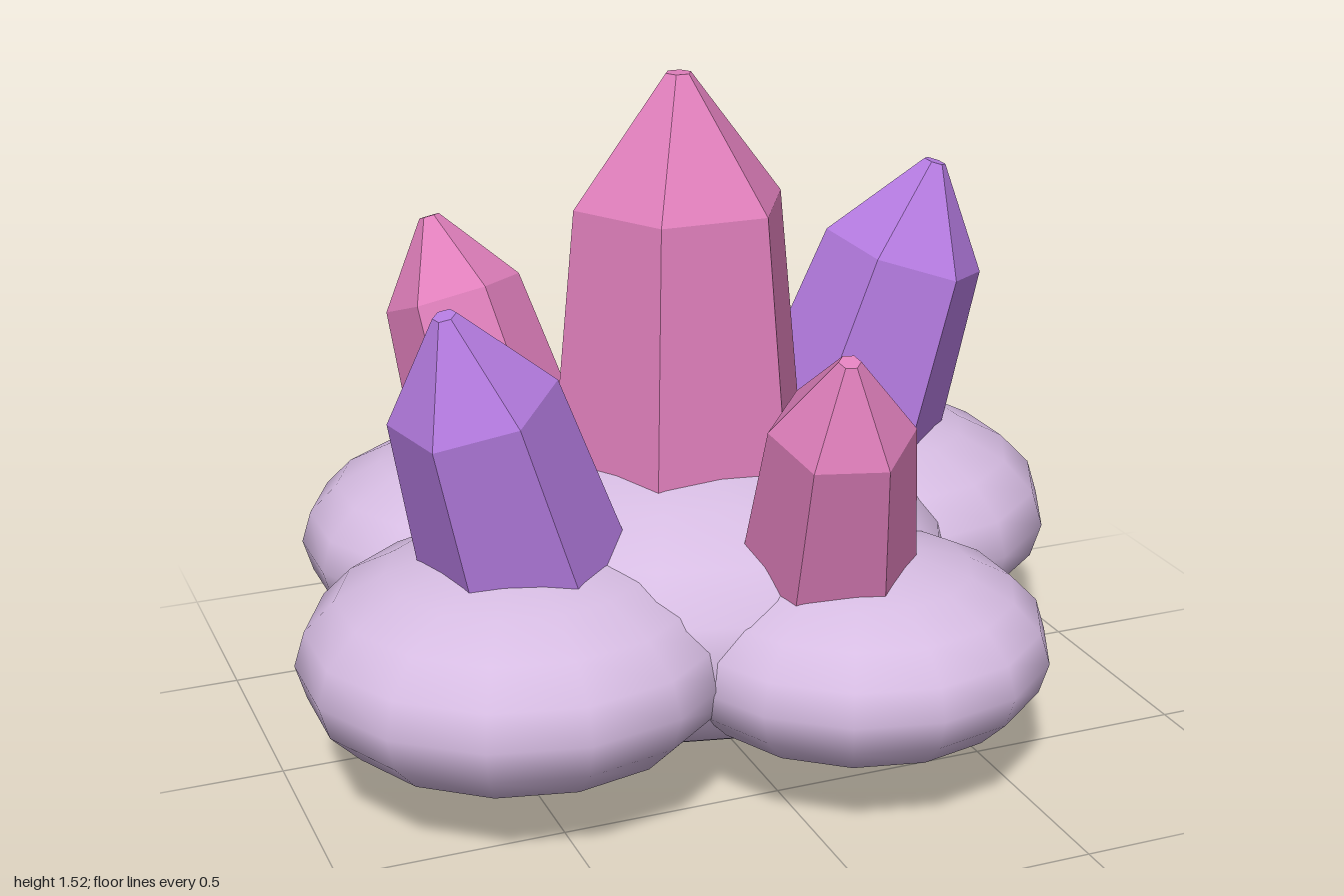
import * as THREE from 'three';

const rockMat = new THREE.MeshStandardMaterial({ name: 'paleLilacRock', color: 0xd6bce2 });
const pinkMat = new THREE.MeshStandardMaterial({ name: 'pinkCrystal', color: 0xdf7fbb });
const purpleMat = new THREE.MeshStandardMaterial({ name: 'purpleCrystal', color: 0xb47be0 });

// Flattened smooth boulder with 14 sides
function rock(name, x, y, z, r) {
  const geo = new THREE.SphereGeometry(r, 14, 10).rotateY(Math.PI / 2).scale(1, 0.52, 1);
  const mesh = new THREE.Mesh(geo, rockMat);
  mesh.name = name;
  mesh.position.set(x, y, z);
  return mesh;
}

// Six-sided tapered crystal: its tip sits at `tip`, its axis leans by (lx, lz) per unit of height
function crystal(name, mat, tip, [lx, lz], r, length, yaw) {
  const cone = r * 1.16;
  const profile = [
    [0, -length],
    [r + (length - cone) * 0.1, -length],
    [r, -cone],
    [0.03 * Math.sqrt(r / 0.25), 0],
    [0, 0],
  ].map(([px, py]) => new THREE.Vector2(px, py));
  const geo = new THREE.LatheGeometry(profile, 6).rotateY(yaw).toNonIndexed();
  geo.computeVertexNormals();
  const mesh = new THREE.Mesh(geo, mat);
  mesh.name = name;
  mesh.position.set(...tip);
  const axis = new THREE.Vector3(lx, 1, lz).normalize();
  mesh.quaternion.setFromUnitVectors(new THREE.Vector3(0, 1, 0), axis);
  return mesh;
}

export function createModel() {
  const group = new THREE.Group();
  group.name = 'crystalCluster';

  // Rock base
  group.add(
    rock('centreRock', -0.03, 0.346, -0.035, 0.66),
    rock('rightRock', -0.515, 0.325, 0.25, 0.487),
    rock('leftRock', 0.49, 0.34, -0.25, 0.515),
    rock('frontRock', 0.207, 0.313, 0.45, 0.435),
    rock('backRock', -0.36, 0.33, -0.425, 0.465),
  );

  // Crystals
  group.add(
    crystal('centreCrystal', pinkMat, [-0.025, 1.52, -0.03], [0, 0], 0.25, 1.15, Math.PI / 6),
    crystal('rightCrystal', purpleMat, [-0.675, 1.135, 0.315], [-0.3, 0.13], 0.185, 0.8, 0.25),
    crystal('leftCrystal', purpleMat, [0.675, 1.23, -0.14], [0.3, 0.095], 0.198, 0.88, 0.25),
    crystal('frontCrystal', pinkMat, [0.085, 1.043, 0.645], [-0.09, 0.35], 0.158, 0.74, 0.25),
    crystal('backCrystal', pinkMat, [-0.432, 1.078, -0.65], [-0.2, -0.31], 0.168, 0.77, 0.25),
  );
  return group;
}
